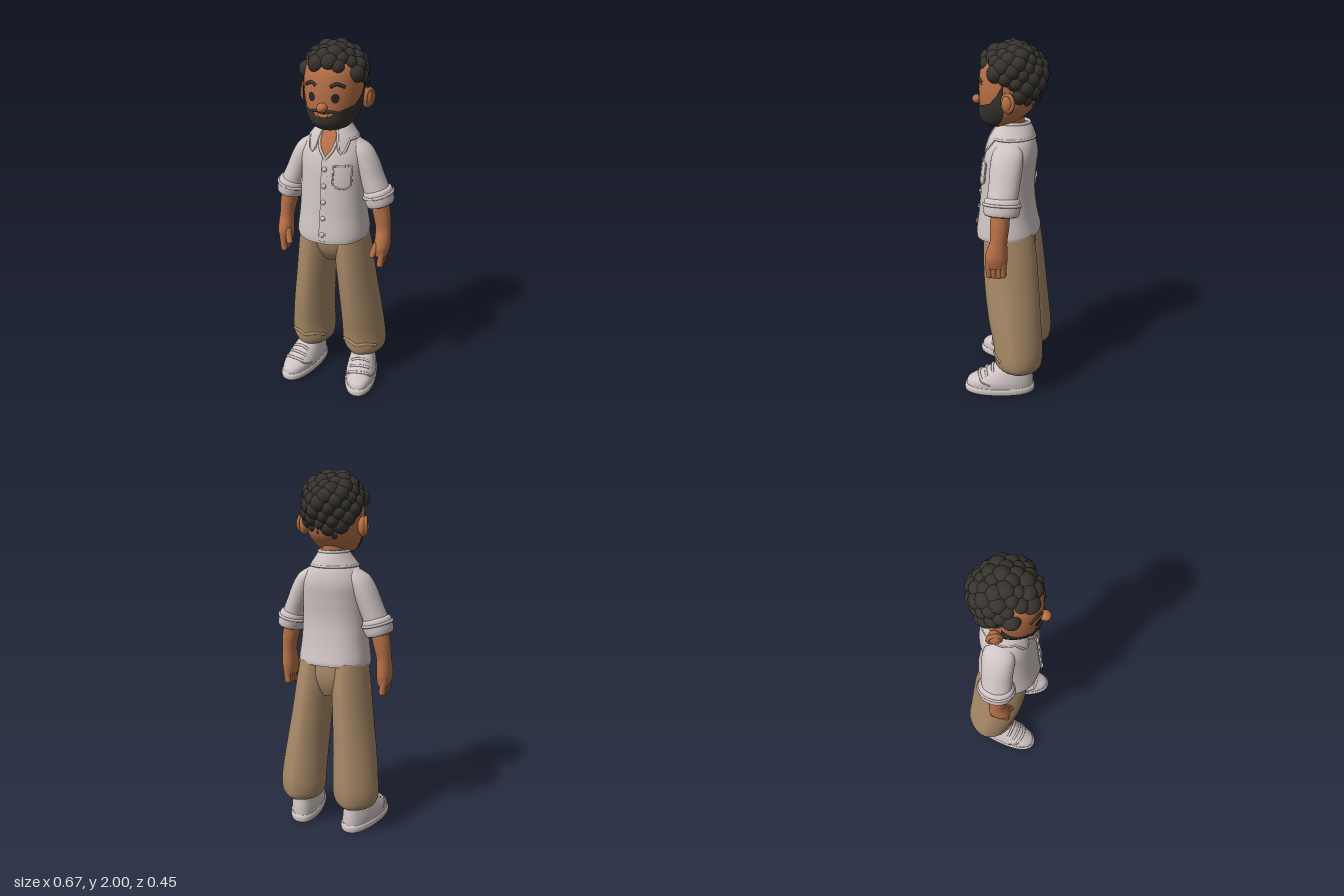
import * as THREE from 'three';
import { mergeGeometries } from 'three/addons/utils/BufferGeometryUtils.js';

// Every body form is a list of oval sections: [y, centreX, centreZ, halfWidth, frontDepth, backDepth]
const HEAD = [
  [1.555, 0, .06, .05, .05, .05], [1.57, 0, .05, .085, .085, .08], [1.6, 0, .02, .115, .135, .09],
  [1.65, 0, 0, .14, .16, .12], [1.7, 0, 0, .152, .163, .14], [1.78, 0, 0, .157, .162, .155],
  [1.86, 0, 0, .15, .15, .155], [1.92, 0, 0, .12, .11, .12], [1.96, 0, 0, .05, .05, .05]];
const TORSO = [
  [.95, 0, 0, .197, .182, .168], [.975, 0, 0, .2, .183, .168], [1.08, 0, 0, .188, .167, .146],
  [1.2, 0, 0, .18, .156, .132], [1.32, 0, 0, .178, .145, .14], [1.4, 0, 0, .175, .13, .148],
  [1.46, 0, 0, .152, .108, .14], [1.5, 0, 0, .12, .085, .125], [1.53, 0, 0, .09, .065, .105],
  [1.55, 0, 0, .07, .05, .085]];
const COLLAR = [
  [1.42, 0, 0, .165, .137, .15], [1.5, 0, 0, .13, .108, .135], [1.545, 0, -.005, .098, .085, .115],
  [1.58, 0, -.01, .075, .062, .09]];
const SHOE = [
  [.035, 0, 0, .085, .2, .195], [.075, 0, 0, .086, .188, .193], [.105, 0, -.02, .08, .158, .17],
  [.14, 0, -.05, .07, .125, .135], [.17, 0, -.08, .06, .1, .108], [.19, 0, -.085, .048, .08, .088]];
const SOLE = [
  [0, 0, 0, .08, .198, .195], [.01, 0, 0, .09, .207, .202], [.035, 0, 0, .091, .207, .202], [.046, 0, 0, .085, .198, .195]];
const LEG = [
  [.145, .165, -.09, .075, .1, .08], [.16, .165, -.09, .105, .13, .112], [.2, .164, -.085, .129, .142, .133],
  [.28, .161, -.08, .132, .142, .143], [.45, .148, -.06, .124, .155, .148], [.65, .127, -.04, .114, .16, .15],
  [.85, .108, -.02, .107, .15, .15], [.98, .1, -.01, .095, .14, .14]];
const HIPS = [
  [.78, 0, -.02, .1, .08, .09], [.84, 0, -.015, .17, .115, .12], [.9, 0, -.01, .196, .13, .135], [.98, 0, 0, .19, .13, .14]];
const SLEEVE = [
  [1.15, .256, -.005, .066, .075, .08], [1.22, .24, -.005, .071, .078, .083], [1.3, .207, -.01, .07, .08, .085],
  [1.39, .168, -.01, .07, .08, .09], [1.45, .138, -.01, .058, .068, .08], [1.49, .105, -.01, .025, .03, .04]];
const CUFF = [
  [-.05, 0, 0, .06, .075, .08], [-.042, 0, 0, .074, .09, .093], [0, 0, 0, .079, .095, .098],
  [.036, 0, 0, .075, .09, .094], [.046, 0, 0, .06, .075, .08]];
const ARM = [
  [.85, .287, .018, .034, .052, .055], [.9, .29, .018, .043, .06, .062], [.95, .29, .012, .043, .055, .055],
  [1.0, .288, .004, .041, .046, .046], [1.08, .276, 0, .048, .05, .05], [1.18, .255, 0, .052, .052, .052]];
const NECK = [[1.45, 0, -.015, .075, .07, .07], [1.53, 0, -.015, .066, .06, .062], [1.63, 0, -.015, .068, .06, .062]];

// Smoothly interpolated section at height y
function sectionAt(keys, y) {
  let i = 0;
  while (i < keys.length - 2 && y > keys[i + 1][0]) i++;
  const b = keys[i], c = keys[i + 1], a = keys[i - 1] || b, d = keys[i + 2] || c;
  const h = c[0] - b[0], t = Math.min(1, Math.max(0, (y - b[0]) / h));
  return b.map((p, k) => {
    const m0 = (c[k] - a[k]) / (c[0] - a[0]) * h, m1 = (d[k] - p) / (d[0] - b[0]) * h;
    return (2 * t ** 3 - 3 * t * t + 1) * p + (t ** 3 - 2 * t * t + t) * m0 + (3 * t * t - 2 * t ** 3) * c[k] + (t ** 3 - t * t) * m1;
  });
}

// Point on a form: angle 0 is the front, growing towards +x
function onForm(keys, a, y, off = 0, power = 2) {
  const [, cx, cz, rx, f, b] = sectionAt(keys, y), s = Math.sin(a), c = Math.cos(a), e = 2 / power;
  return new THREE.Vector3(
    cx + (rx + off) * Math.sign(s) * Math.abs(s) ** e, y,
    cz + ((c > 0 ? f : b) + off) * Math.sign(c) * Math.abs(c) ** e);
}

function grid(nu, nv, point) {
  const pos = [], idx = [];
  for (let j = 0; j <= nv; j++) for (let i = 0; i <= nu; i++) {
    pos.push(...point(i / nu, j / nv).toArray());
    if (i < nu && j < nv) {
      const p = j * (nu + 1) + i, q = p + nu + 1;
      idx.push(p, p + 1, q + 1, p, q + 1, q);
    }
  }
  const g = new THREE.BufferGeometry();
  g.setAttribute('position', new THREE.Float32BufferAttribute(pos, 3));
  g.setIndex(idx);
  g.computeVertexNormals();
  return g;
}

// Closed form through all sections, with flat ends
function loft(keys, power = 2, warp = p => p) {
  const ys = [], n = 48, pos = [], idx = [];
  keys.forEach((k, i) => {
    if (i) for (let s = 1; s <= 4; s++) ys.push(keys[i - 1][0] + (k[0] - keys[i - 1][0]) * s / 4);
    else ys.push(k[0]);
  });
  const ring = y => {
    for (let j = 0; j < n; j++) pos.push(...warp(onForm(keys, j / n * Math.PI * 2, y, 0, power)).toArray());
  };
  ys.forEach(ring);
  for (let i = 0; i < ys.length - 1; i++) for (let j = 0; j < n; j++) {
    const p = i * n + j, r = i * n + (j + 1) % n;
    idx.push(p, r, r + n, p, r + n, p + n);
  }
  [ys[0], ys[ys.length - 1]].forEach((y, top) => {
    const s = pos.length / 3, k = sectionAt(keys, y);
    ring(y);
    pos.push(...warp(new THREE.Vector3(k[1], y, k[2])).toArray());
    for (let j = 0; j < n; j++) top ? idx.push(s + j, s + (j + 1) % n, s + n) : idx.push(s + (j + 1) % n, s + j, s + n);
  });
  const g = new THREE.BufferGeometry();
  g.setAttribute('position', new THREE.Float32BufferAttribute(pos, 3));
  g.setIndex(idx);
  g.computeVertexNormals();
  return g;
}

export function createModel() {
  const model = new THREE.Group();
  const mat = (name, color, side = THREE.FrontSide) => Object.assign(new THREE.MeshStandardMaterial({ color, side }), { name });
  const skin = mat('skin', 0xb87147), cloth = mat('white cloth', 0xcfc4c3, THREE.DoubleSide), tan = mat('tan trousers', 0xa88967);
  const hair = mat('dark hair', 0x37342f, THREE.DoubleSide), eye = mat('eye', 0x2a2624, THREE.DoubleSide);

  const add = (name, geo, m, parent = model) => {
    const mesh = new THREE.Mesh(geo, m);
    mesh.name = name;
    parent.add(mesh);
    return mesh;
  };
  const ball = (name, m, p, r, parent) => {
    const b = add(name, new THREE.SphereGeometry(1, 24, 16), m, parent);
    b.position.set(...p);
    b.scale.set(...r);
    return b;
  };
  // Raised cord following [angle, y] points on a form
  const cord = (name, keys, pts, r, m, off = 0, power = 2, parent = model) => add(name, new THREE.TubeGeometry(
    new THREE.CatmullRomCurve3(pts.map(([a, y]) => onForm(keys, a, y, off, power))), 32, r, 8), m, parent);
  // Thin plate lying on a form
  const plate = (name, keys, f, off, m, power = 2, nu = 24, nv = 12) =>
    add(name, grid(nu, nv, (u, v) => { const [a, y] = f(u, v); return onForm(keys, a, y, off, power); }), m);
  const lerp = THREE.MathUtils.lerp;

  // Head and face
  add('head', loft(HEAD), skin);
  add('neck', loft(NECK), skin);
  ball('nose', skin, [0, 1.685, .175], [.028, .025, .029]);
  const line = [[0, 1.63], [.22, 1.635], [.5, 1.665], [1.1, 1.695], [1.35, 1.74], [1.55, 1.8]];
  const beardTop = d => {
    let i = 0;
    while (i < line.length - 2 && d > line[i + 1][0]) i++;
    return lerp(line[i][1], line[i + 1][1], (d - line[i][0]) / (line[i + 1][0] - line[i][0]));
  };
  plate('beard', HEAD, (u, v) => { const a = (u * 2 - 1) * 1.55; return [a, lerp(1.556, beardTop(Math.abs(a)), v)]; }, .009, hair, 2, 60, 16);
  ball('beardUnderside', hair, [0, 1.565, .058], [.075, .014, .07]);
  cord('moustache', HEAD, [[-.5, 1.658], [-.25, 1.664], [0, 1.66], [.25, 1.664], [.5, 1.658]], .008, hair);
  cord('lowerLip', HEAD, [[-.2, 1.645], [0, 1.638], [.2, 1.645]], .009, skin);
  for (const s of [1, -1]) {
    plate('eye', HEAD, (u, v) => {
      const t = u * Math.PI * 2, r = 1 - v;
      return [s * .41 + .135 * r * Math.cos(t), 1.733 + .024 * r * Math.sin(t)];
    }, .004, eye, 2, 24, 4);
    cord('eyebrow', HEAD, [[s * .24, 1.79], [s * .45, 1.804], [s * .72, 1.788]], .009, hair);
    ball('ear', skin, [s * .172, 1.707, -.025], [.03, .054, .034]);
    const rim = add('earRim', new THREE.TorusGeometry(.032, .01, 8, 24), skin);
    rim.position.set(s * .184, 1.712, -.024);
    rim.rotation.y = s * 1.2;
    rim.scale.y = 1.25;
  }

  // Curly hair: a cap covered in round curls above the hairline
  ball('hairCap', hair, [0, 1.815, -.03], [.162, .16, .15]);
  const curls = [], N = 110;
  for (let i = 0; i < N; i++) {
    const h = 1 - (2 * i + 1) / N, r = Math.sqrt(1 - h * h), t = i * 2.39996;
    const x = .143 * r * Math.sin(t), y = 1.82 + (h > 0 ? .135 : .165) * h, z = -.01 + .152 * r * Math.cos(t);
    if (y < (z > .06 ? 1.88 : z > 0 ? 1.83 : z > -.06 ? 1.8 : 1.675)) continue;
    const size = .042 + .006 * Math.sin(i * 7.3);
    curls.push(new THREE.SphereGeometry(size, 18, 14).translate(x, y, z));
  }
  add('curls', mergeGeometries(curls), hair);

  // Shirt body, hem dipping at the front
  const P = 2.3;
  add('shirt', loft(TORSO, P, p => { if (p.y < 1.02) p.y -= .09 * p.z * (1.02 - p.y) / .07; return p; }), cloth);
  plate('openNeck', TORSO, (u, v) => [(u * 2 - 1) * .5 * v, lerp(1.405, 1.545, v)], .005, skin, P);
  for (const s of [1, -1]) cord('neckEdge', TORSO, [0, .33, .66, 1].map(v => [s * .5 * v, lerp(1.4, 1.545, v)]), .008, cloth, .004, P);
  plate('buttonBand', TORSO, (u, v) => [(u * 2 - 1) * .07, lerp(.95, 1.41, v)], .007, cloth, P);
  for (const y of [.99, 1.08, 1.17, 1.26, 1.35])
    ball('button', cloth, onForm(TORSO, 0, y, .008, P).toArray(), [.014, .014, .009]);
  plate('pocket', TORSO, (u, v) => [lerp(.22, .8, u), lerp(1.25 + .02 * Math.abs(u * 2 - 1), 1.37, v)], .006, cloth, P);
  cord('pocketEdge', TORSO, [[.22, 1.37], [.22, 1.32], [.23, 1.27], [.5, 1.25], [.78, 1.27], [.8, 1.32], [.8, 1.37], [.5, 1.37], [.22, 1.37]], .005, cloth, .004, P);

  // Collar with two front points
  const collarA = u => lerp(.45, Math.PI * 2 - .45, u);
  const collarLow = a => 1.5 - .07 * Math.max(0, 1 - Math.abs(Math.min(a, Math.PI * 2 - a) - .58) / .4);
  plate('collar', COLLAR, (u, v) => [collarA(u), lerp(collarLow(collarA(u)), 1.578, v)], .004, cloth, 2, 72, 10);
  const steps = [...Array(41).keys()].map(i => collarA(i / 40));
  cord('collarTop', COLLAR, steps.map(a => [a, 1.574]), .009, cloth);
  cord('collarRim', COLLAR, steps.map(a => [a, collarLow(a)]), .007, cloth);
  for (const a of [.45, -.45]) cord('collarFrontEdge', COLLAR, [[a, 1.455], [a, 1.51], [a, 1.574]], .007, cloth);

  // Trousers
  add('hips', loft(HIPS), tan);
  for (const s of [1, -1]) {
    const side = keys => keys.map(([y, x, ...rest]) => [y, x * s, ...rest]);
    add('trouserLeg', loft(side(LEG), 1.75), tan);
    cord('hemFold', side(LEG), [[-.9, .23], [-.4, .25], [0, .24], [.4, .25], [.9, .23]], .012, tan, -.004, 1.75);

    // Sleeve, rolled cuff and arm
    add('sleeve', loft(side(SLEEVE)), cloth);
    const cuff = add('cuff', loft(CUFF), cloth);
    cuff.position.set(s * .254, 1.183, -.006);
    cuff.rotation.z = s * .25;
    cord('cuffFold', CUFF, [...Array(25).keys()].map(i => [i / 24 * Math.PI * 2, .012]), .008, cloth, 0, 2, cuff);
    add('arm', loft(side(ARM)), skin);

    // Fingers and thumb
    const digit = (name, p, r, len, tiltX, tiltZ) => {
      const d = add(name, new THREE.CapsuleGeometry(r, len, 6, 14), skin);
      d.position.set(s * p[0], p[1], p[2]);
      d.rotation.set(tiltX, 0, s * tiltZ);
    };
    [.055, .029, .003, -.021].forEach((z, i) => digit('finger', [.294, .836 + (i === 3 ? .008 : 0), z], .0185, .07, 0, -.12));
    digit('thumb', [.256, .885, .06], .018, .06, -.3, -.25);

    // Shoe, turned slightly outward
    const shoe = new THREE.Group();
    shoe.name = 'shoe';
    shoe.position.set(s * .183, 0, .022);
    shoe.rotation.y = s * .19;
    model.add(shoe);
    add('sole', loft(SOLE, 2.3), cloth, shoe);
    add('shoeUpper', loft(SHOE, 2.2), cloth, shoe);
    for (const y of [.112, .133, .154])
      cord('lace', SHOE, [[-.75, y - .012], [-.35, y], [0, y + .003], [.35, y], [.75, y - .012]], .008, cloth, .002, 2.2, shoe);
    cord('toeSeam', SHOE, [[-1.3, .07], [-.9, .088], [-.6, .1]], .004, cloth, 0, 2.2, shoe);
    cord('toeSeam', SHOE, [[1.3, .07], [.9, .088], [.6, .1]], .004, cloth, 0, 2.2, shoe);
  }
  return model;
}
